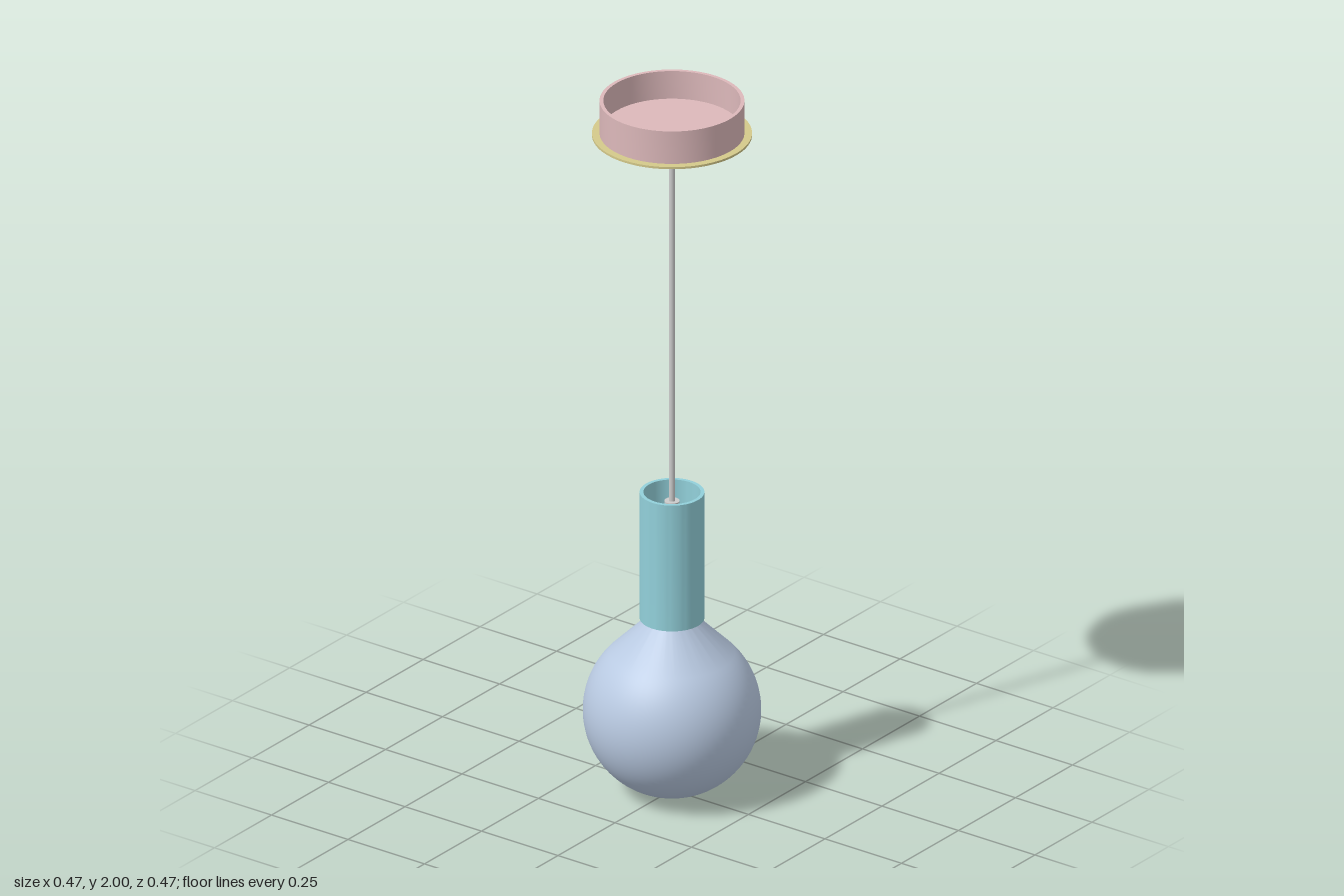
import * as THREE from 'three';
import { toCreasedNormals } from 'three/addons/utils/BufferGeometryUtils.js';

const SEGMENTS = 64;
const material = (color) => new THREE.MeshStandardMaterial({ color });
const pink = material(0xdcb8ba);
const yellow = material(0xd4c98a);
const teal = material(0x92d0da);
const blue = material(0xb9cae2);
const grey = material(0xcccccc);

export function createModel() {
  const lamp = new THREE.Group();
  lamp.name = 'pendantLamp';

  const add = (name, geometry, mat, y = 0) => {
    const mesh = new THREE.Mesh(geometry, mat);
    mesh.name = name;
    mesh.position.y = y;
    lamp.add(mesh);
  };

  // Upright rod or disc between two heights
  const rod = (name, radius, y0, y1, mat, sides = SEGMENTS) =>
    add(name, new THREE.CylinderGeometry(radius, radius, y1 - y0, sides), mat, (y0 + y1) / 2);

  // Turned part from [radius, height] pairs, running up the outside
  const turned = (name, profile, mat, crease = 0.5) => {
    const points = profile.map(([r, y]) => new THREE.Vector2(r, y));
    add(name, toCreasedNormals(new THREE.LatheGeometry(points, SEGMENTS), crease), mat);
  };

  // Ceiling canopy: an open cup on a thin trim plate
  turned('canopy', [[0, 1.906], [0.19, 1.906], [0.19, 2], [0.18, 2], [0.18, 1.92], [0, 1.92]], pink);
  rod('trimPlate', 0.21, 1.9, 1.906, yellow);

  // Cord and its grips
  rod('cordGrip', 0.023, 1.845, 1.9, pink, 32);
  rod('cord', 0.008, 0.78, 1.845, grey, 24);
  rod('lowerCordGrip', 0.02, 0.78, 0.84, grey, 32);

  // Sleeve: a tube open at both ends, with the lamp holder inside
  turned('sleeve', [[0.075, 0.5], [0.085, 0.5], [0.085, 0.865], [0.075, 0.865], [0.075, 0.5]], teal);
  rod('lampHolder', 0.074, 0.6, 0.78, teal);

  // Bulb: a globe whose shoulder runs at a tangent into the neck
  const radius = 0.234;
  const profile = [];
  for (let i = 0; i <= 40; i++) {
    const a = -Math.PI / 2 + (i / 40) * Math.PI * 0.75;
    profile.push([Math.max(0, radius * Math.cos(a)), radius + radius * Math.sin(a)]);
  }
  profile.push([0.068, 0.496], [0.064, 0.503], [0.062, 0.515], [0.062, 0.6], [0, 0.6]);
  turned('bulb', profile, blue, 0.9);

  return lamp;
}
